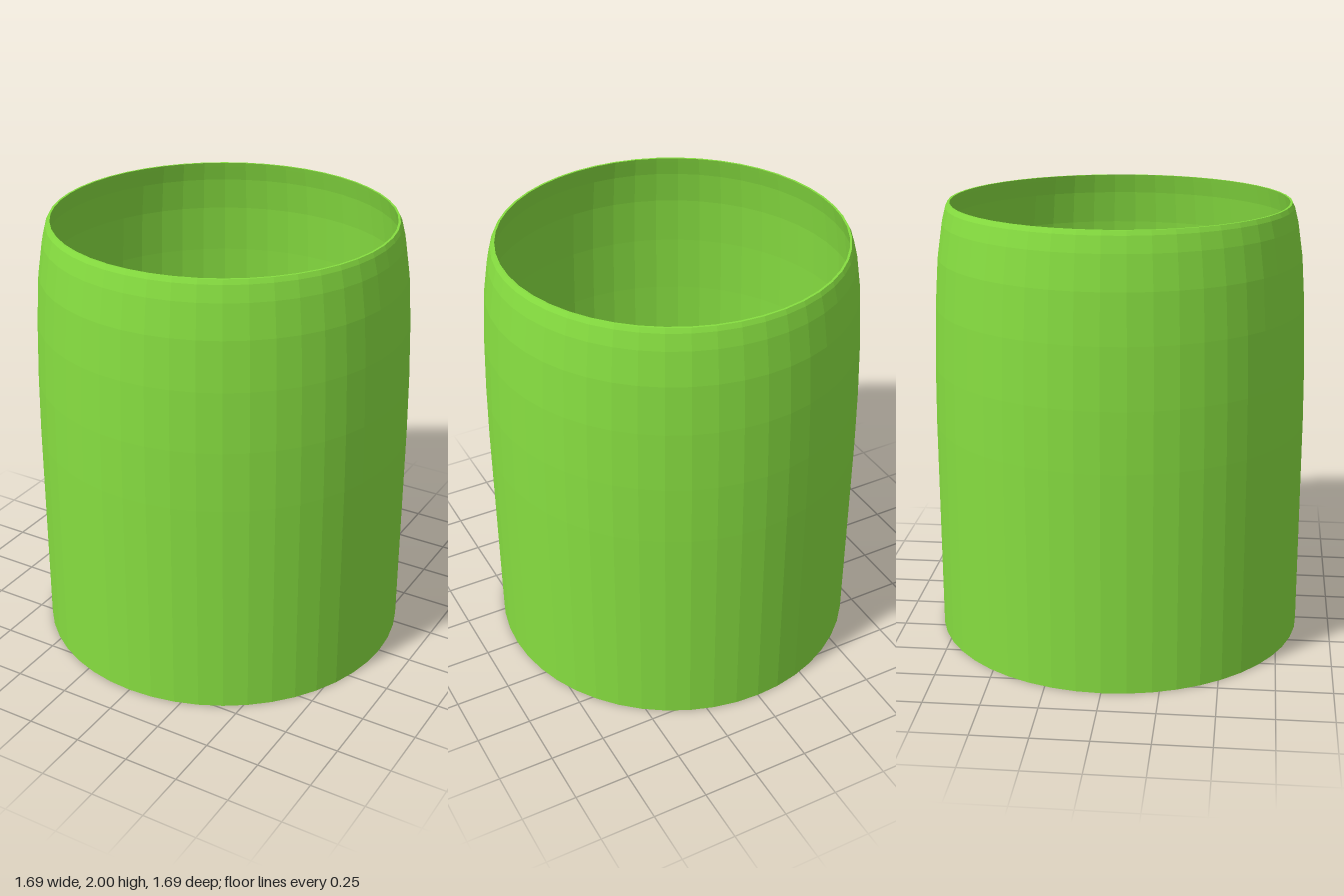
import * as THREE from 'three';

const SIDES = 48;

export function createModel() {
  const group = new THREE.Group();
  group.name = 'cup';
  const material = new THREE.MeshStandardMaterial({ color: 0x86dd40, flatShading: true });

  const addLathe = (name, points) => {
    const profile = points.map(([r, y]) => new THREE.Vector2(r, y));
    const mesh = new THREE.Mesh(new THREE.LatheGeometry(profile, SIDES), material);
    mesh.name = name;
    group.add(mesh);
  };

  // Outer wall: straight below, curving in towards the mouth
  const shoulder = [[0.846, 1.0], [0.842, 1.27], [0.832, 1.54], [0.816, 1.76], [0.793, 1.91], [0.775, 1.98], [0.765, 2]];
  addLathe('outerWall', [[0, 0], [0.846, 0], ...shoulder]);

  // Thin flat lip around the mouth
  addLathe('rim', [[0.765, 2], [0.755, 2]]);

  // Inner wall follows the shoulder, then tapers to a flat floor
  const inner = shoulder.slice(0, -1).reverse().map(([r, y]) => [r - 0.015, y]);
  addLathe('innerWall', [[0.755, 2], ...inner, [0.65, 0.1]]);
  addLathe('floor', [[0.65, 0.1], [0, 0.1]]);

  return group;
}
